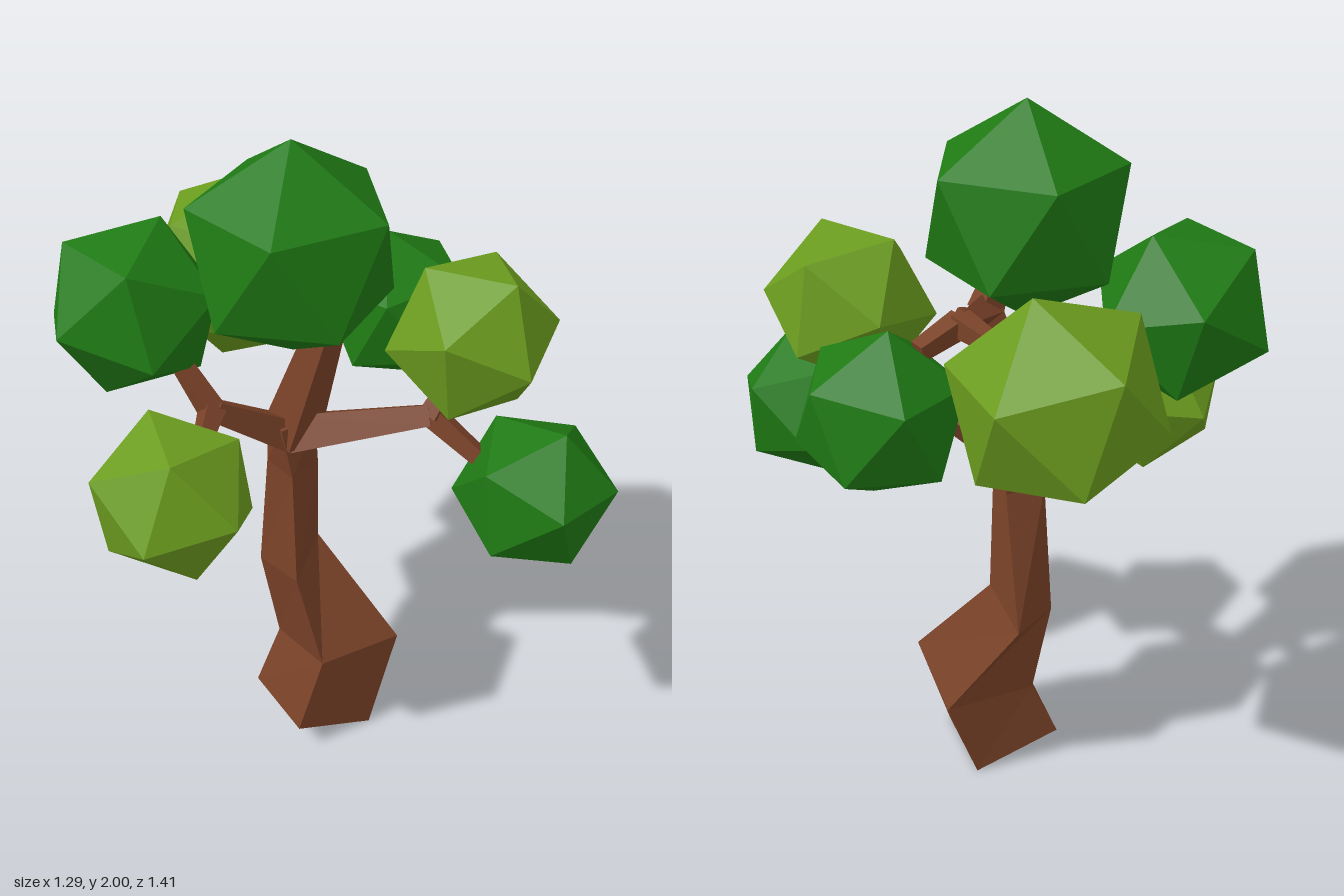
import * as THREE from 'three';

const material = (color) => new THREE.MeshStandardMaterial({ color, flatShading: true });
const vec = (p) => new THREE.Vector3(...p);

// Orthonormal frame whose first axis is a and whose second leans towards h
function frame(a, h) {
  const x = vec(a).normalize();
  const y = vec(h).addScaledVector(x, -vec(h).dot(x)).normalize();
  return new THREE.Matrix4().makeBasis(x, y, x.clone().cross(y));
}

// Icosahedron with one corner along axis and a neighbouring corner turned to hint
function leafBall(radius, axis, hint) {
  const t = (1 + Math.sqrt(5)) / 2;
  const turn = frame(axis, hint).multiply(frame([-1, t, 0], [1, t, 0]).invert());
  return new THREE.IcosahedronGeometry(radius, 0).applyMatrix4(turn);
}

// Closed solid through a stack of four-cornered sections
function loft(sections) {
  const index = [];
  const last = (sections.length - 1) * 4;
  for (let s = 0; s < last; s += 4) {
    for (let i = 0; i < 4; i++) {
      const a = s + i, b = s + (i + 1) % 4;
      index.push(a, b, b + 4, a, b + 4, a + 4);
    }
  }
  index.push(0, 2, 1, 0, 3, 2, last, last + 1, last + 2, last, last + 2, last + 3);
  const geometry = new THREE.BufferGeometry();
  geometry.setAttribute('position', new THREE.Float32BufferAttribute(sections.flat(2), 3));
  geometry.setIndex(index);
  const flat = geometry.toNonIndexed();
  flat.computeVertexNormals();
  return flat;
}

// Square tapered limb between two points
function limb(from, to, r0, r1) {
  const a = vec(from), b = vec(to);
  const dir = b.clone().sub(a);
  const geometry = new THREE.CylinderGeometry(r1, r0, dir.length(), 4, 1);
  geometry.rotateY(Math.PI / 4);
  geometry.applyQuaternion(new THREE.Quaternion().setFromUnitVectors(new THREE.Vector3(0, 1, 0), dir.normalize()));
  const mid = a.add(b).multiplyScalar(0.5);
  return geometry.translate(mid.x, mid.y, mid.z);
}

export function createModel() {
  const tree = new THREE.Group();
  tree.name = 'tree';
  const bark = material(0x7a4228);
  const darkLeaf = material(0x1f7a14);
  const lightLeaf = material(0x6b9c1e);

  const add = (name, geometry, mat) => {
    const mesh = new THREE.Mesh(geometry, mat);
    mesh.name = name;
    tree.add(mesh);
    return mesh;
  };

  // Bent trunk, corners: front right, front left, back left, back right
  add('trunk', loft([
    [[-0.125, 0.095, 0.07], [0.12, 0, 0.135], [0.18, 0, -0.12], [-0.065, 0.09, -0.185]],
    [[-0.045, 0.335, 0.09], [0.215, 0.325, 0.155], [0.27, 0.265, -0.105], [0.01, 0.275, -0.16]],
    [[-0.055, 0.61, -0.01], [0.115, 0.645, -0.095], [0.145, 0.6, -0.285], [-0.025, 0.57, -0.2]],
    [[-0.03, 0.955, -0.05], [0.08, 0.96, -0.06], [0.1, 0.97, -0.155], [-0.02, 0.96, -0.165]],
    [[-0.05, 1.12, -0.07], [0.06, 1.12, -0.05], [0.085, 1.12, -0.14], [-0.02, 1.12, -0.16]],
  ]), bark);

  // Branches: start, fork, thickness at both ends, twig tips
  const branches = [
    ['rightBranch', [0, 1.07, -0.11], [-0.22, 1.23, -0.16], 0.065, 0.04,
      [[-0.25, 1.36, -0.25], [-0.31, 1.22, -0.09]]],
    ['frontBranch', [0.03, 1.06, -0.1], [0.22, 1.2, 0.24], 0.075, 0.04,
      [[0.27, 1.1, 0.38], [0.27, 1.3, 0.26]]],
    ['topBranch', [0.02, 1.06, -0.11], [0.07, 1.45, -0.01], 0.085, 0.05,
      [[0, 1.6, 0], [0.21, 1.5, -0.13]]],
    ['backTwig', [0.19, 1.49, -0.12], [0.22, 1.5, -0.13], 0.04, 0.04,
      [[0.35, 1.46, -0.14], [0.22, 1.5, -0.27]]],
  ];
  for (const [name, start, fork, r0, r1, tips] of branches) {
    const group = new THREE.Group();
    group.name = name;
    group.add(new THREE.Mesh(limb(start, fork, r0, r1), bark));
    for (const tip of tips) group.add(new THREE.Mesh(limb(fork, tip, r1, 0.03), bark));
    tree.add(group);
  }

  // Foliage: centre, radius, corner direction, neighbouring corner direction
  const crowns = [
    ['topCrown', darkLeaf, [-0.05, 1.705, -0.022], 0.295, [0, 1, 0], [1, 0, 0]],
    ['backRightCrown', darkLeaf, [-0.3, 1.5, -0.365], 0.247, [1, 0, 0], [0, 1, 0]],
    ['rightCrown', lightLeaf, [-0.44, 1.11, -0.07], 0.235, [0.08, 0.03, 1], [-0.04, -0.225, 0]],
    ['frontLeftCrown', lightLeaf, [0.315, 1.43, 0.28], 0.235, [0.035, 0.02, -0.215], [0.16, 0.17, 0]],
    ['lowFrontCrown', darkLeaf, [0.335, 1.035, 0.515], 0.225, [0.015, 0.215, 0.075], [0, 0, -1]],
    ['leftCrown', darkLeaf, [0.45, 1.305, -0.115], 0.232, [0.2, 0.12, -0.02], [0.17, -0.105, 0.14]],
    ['backCrown', lightLeaf, [0.155, 1.41, -0.46], 0.285, [0.07, 0.28, 0.01], [-0.01, 0.125, -0.255]],
  ];
  for (const [name, mat, centre, radius, axis, hint] of crowns) {
    add(name, leafBall(radius, axis, hint), mat).position.set(...centre);
  }

  return tree;
}
